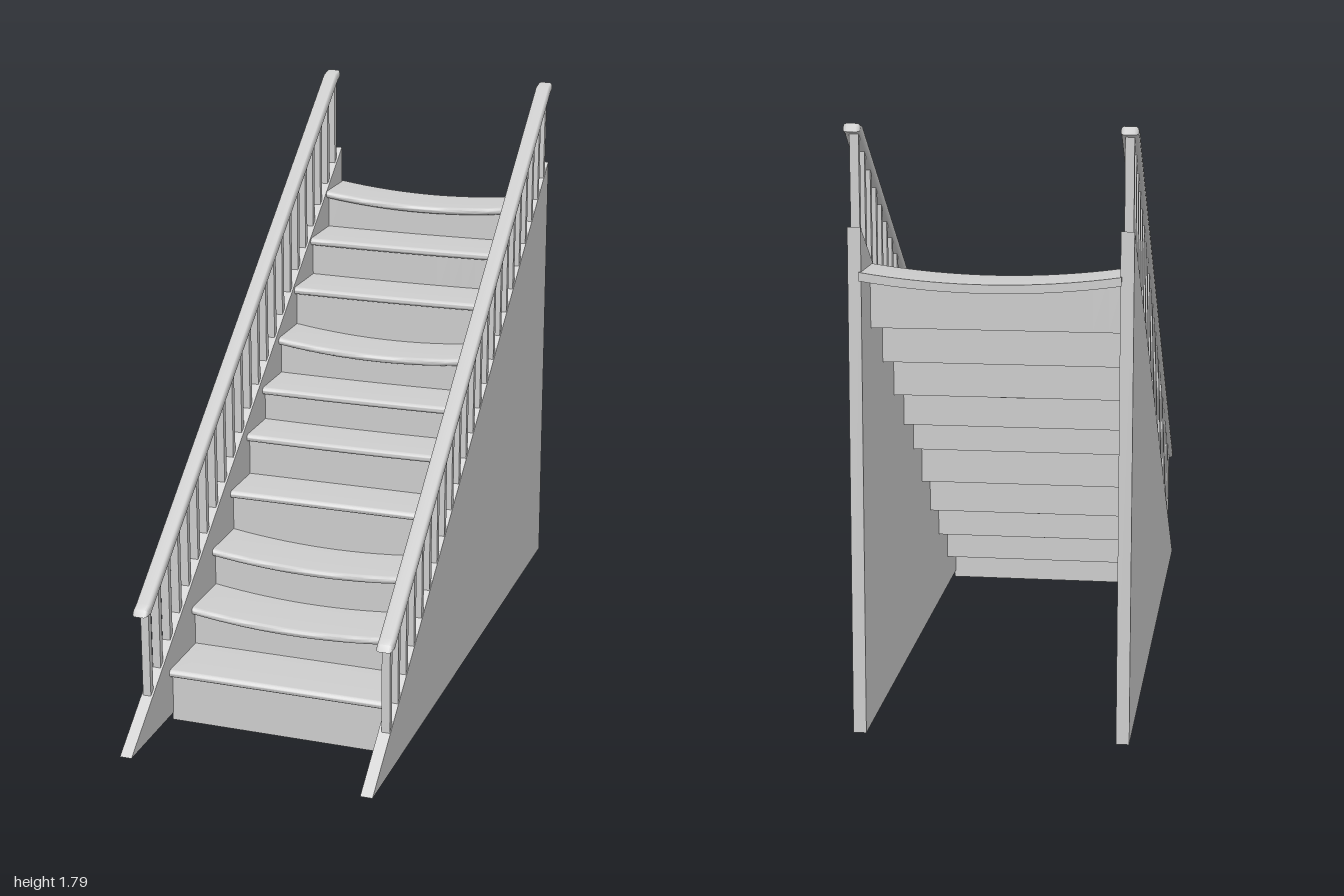
import * as THREE from 'three';
import { toCreasedNormals } from 'three/addons/utils/BufferGeometryUtils.js';

const material = new THREE.MeshStandardMaterial({ color: 0xcccccc });
const STEP_X = -0.008, STEP_WIDTH = 0.735;

// Extrude a side outline (z, y) across x, centred on x = 0
function sideExtrude(shape, width, options = {}) {
  const geometry = new THREE.ExtrudeGeometry(shape, { depth: width, bevelEnabled: false, curveSegments: 6, ...options });
  geometry.rotateY(-Math.PI / 2);
  geometry.translate(width / 2, 0, 0);
  return geometry;
}

function outline(points) {
  return new THREE.Shape(points.map(([z, y]) => new THREE.Vector2(z, y)));
}

// Lower the middle of a step; keep selects how much each height follows
function sagGeometry(geometry, dip, follow = () => 1) {
  const p = geometry.attributes.position;
  for (let i = 0; i < p.count; i++) {
    const t = p.getX(i) / (STEP_WIDTH / 2);
    p.setY(i, p.getY(i) - dip * (1 - t * t) * follow(p.getY(i)));
  }
  return toCreasedNormals(geometry, 0.6);
}

function add(parent, name, geometry, x = 0, y = 0, z = 0) {
  const mesh = new THREE.Mesh(geometry, material);
  mesh.name = name;
  mesh.position.set(x, y, z);
  parent.add(mesh);
  return mesh;
}

// Tread with a rounded nose; front at z = 0, top at y = 0
function treadGeometry(depth, dip) {
  const r = 0.0125;
  const shape = new THREE.Shape();
  shape.moveTo(-depth, -2 * r);
  shape.lineTo(-r, -2 * r);
  shape.absarc(-r, -r, r, -Math.PI / 2, Math.PI / 2, false);
  shape.lineTo(-depth, 0);
  shape.closePath();
  return sagGeometry(sideExtrude(shape, STEP_WIDTH, { steps: 16 }), dip);
}

// Riser whose top follows the worn tread and whose bottom is straight
function riserGeometry(height, dip) {
  const geometry = new THREE.BoxGeometry(STEP_WIDTH, height, 0.02, 16, 1, 1);
  return sagGeometry(geometry, dip, (y) => (y > 0 ? 1 : 0));
}

export function createModel() {
  const group = new THREE.Group();
  group.name = 'staircase';

  // Steps: front edge z, top height y, sag in the middle
  const steps = [
    [0.70, 0.18, 0], [0.51, 0.313, 0.028], [0.33, 0.443, 0.028], [0.165, 0.583, 0],
    [0.01, 0.728, 0.003], [-0.14, 0.845, 0.003], [-0.30, 0.974, 0.028],
    [-0.46, 1.11, 0.003], [-0.63, 1.243, 0.003], [-0.80, 1.375, 0.028],
  ];
  const stairs = new THREE.Group();
  stairs.name = 'steps';
  stairs.position.x = STEP_X;
  group.add(stairs);
  steps.forEach(([z, y, dip], i) => {
    const back = i < steps.length - 1 ? steps[i + 1][0] - 0.035 : -0.985;
    add(stairs, 'tread', treadGeometry(z - back, dip), 0, y, z);
    const bottom = i ? steps[i - 1][1] - 0.05 : 0;
    const top = y - 0.015;
    add(stairs, 'riser', riserGeometry(top - bottom, dip), 0, (top + bottom) / 2, z - 0.035);
  });

  // Shared outlines of the two sides
  const panel = sideExtrude(outline([[1, 0.025], [-0.97, 1.5], [-1, 0.025]]), 0.038);
  const rail = toCreasedNormals(sideExtrude(outline([
    [0.855, 0.436], [0.834, 0.436], [-0.915, 1.759], [-0.935, 1.768],
    [-0.933, 1.774], [-0.905, 1.768], [0.83, 0.452], [0.85, 0.442],
  ]), 0.03, { bevelEnabled: true, bevelSize: 0.01, bevelThickness: 0.01, bevelSegments: 3 }), 0.6);

  const panelTop = (z) => 0.025 + (1 - z) * 0.7487;
  const railLine = (z) => 0.44 + (0.834 - z) * 0.757;

  for (const [name, panelX, railX] of [['right', -0.391, -0.392], ['left', 0.374, 0.382]]) {
    const side = new THREE.Group();
    side.name = name + 'Side';
    group.add(side);
    add(side, 'sidePanel', panel, panelX);
    add(side, 'handrail', rail, railX);

    // Square balusters between panel and handrail
    for (let i = 0; i < 23; i++) {
      const z = 0.82 - i * 0.0791;
      const y0 = panelTop(z) - 0.012, y1 = railLine(z) + 0.004;
      add(side, 'baluster', new THREE.BoxGeometry(0.026, y1 - y0, 0.02), (panelX + railX) / 2, (y0 + y1) / 2, z);
    }
  }
  return group;
}
